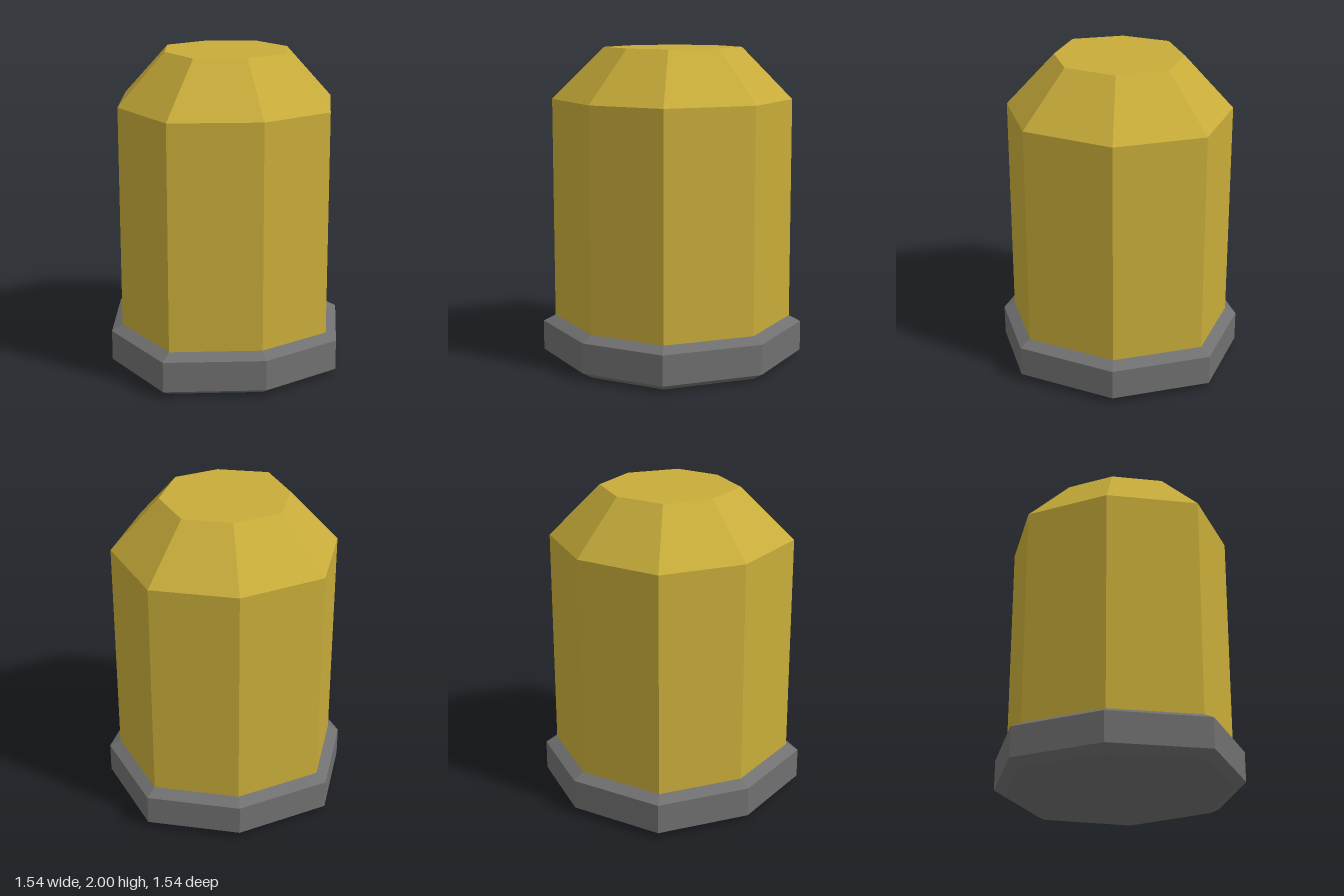
import * as THREE from 'three';

// Slightly uneven octagon [x, z], clockwise seen from above
const OUTLINE = [
  [0, -0.7], [0.51, -0.54], [0.7, 0], [0.477, 0.54],
  [0, 0.7], [-0.545, 0.55], [-0.7, 0], [-0.525, -0.515],
];

// Stack of scaled outlines, given as [y, scale], joined by flat faces and capped
function stack(name, rings, material, { bottom = true, top = true } = {}) {
  const n = OUTLINE.length;
  const positions = [];
  const corner = ([y, s], k) => [OUTLINE[k % n][0] * s, y, OUTLINE[k % n][1] * s];
  const tri = (...corners) => corners.forEach((c) => positions.push(...c));

  for (let r = 0; r < rings.length - 1; r++) {
    for (let k = 0; k < n; k++) {
      const a = corner(rings[r], k + 1), b = corner(rings[r], k);
      const c = corner(rings[r + 1], k), d = corner(rings[r + 1], k + 1);
      tri(a, b, c);
      tri(a, c, d);
    }
  }
  const low = rings[0], high = rings[rings.length - 1];
  for (let k = 1; k < n - 1; k++) {
    if (bottom) tri(corner(low, 0), corner(low, k), corner(low, k + 1));
    if (top) tri(corner(high, 0), corner(high, k + 1), corner(high, k));
  }

  const geometry = new THREE.BufferGeometry();
  geometry.setAttribute('position', new THREE.Float32BufferAttribute(positions, 3));
  geometry.computeVertexNormals();
  const mesh = new THREE.Mesh(geometry, material);
  mesh.name = name;
  return mesh;
}

export function createModel() {
  const gold = new THREE.MeshStandardMaterial({ color: 0xc8ac3a });
  gold.name = 'gold';
  const grey = new THREE.MeshStandardMaterial({ color: 0x707070 });
  grey.name = 'grey';

  const model = new THREE.Group();
  model.name = 'capsule';
  // Bevelled foot ring
  model.add(stack('base', [[0, 1], [0.04, 1.1], [0.23, 1.1], [0.27, 1]], grey, { top: false }));
  // Straight body
  model.add(stack('body', [[0.27, 1], [1.673, 1]], gold, { bottom: false, top: false }));
  // Tapered, flat-topped cap
  model.add(stack('cap', [[1.673, 1], [2, 0.57]], gold, { bottom: false }));
  return model;
}
